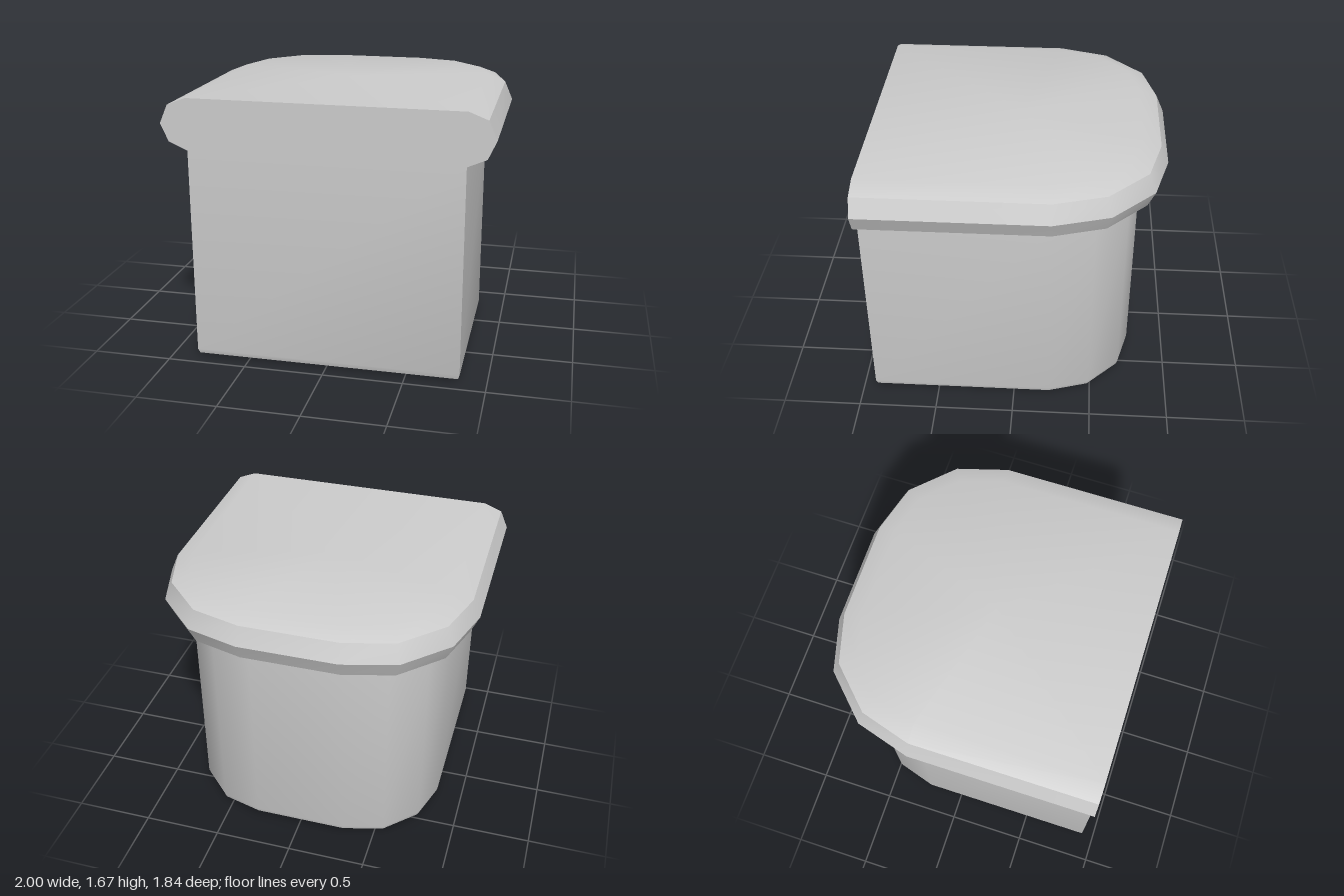
import * as THREE from 'three';
import { toCreasedNormals } from 'three/addons/utils/BufferGeometryUtils.js';

// Half of the widest outline: [x, z, inset direction in degrees]
const OUTLINE = [[1, -0.23, 0], [0.9, -0.57, 30], [0.64, -0.83, 60], [0.31, -0.92, 86]];

// U-shaped ring: straight front, rounded back, moved inwards by inset
function ring({ y, inset, front = 0.92 }) {
  const half = [new THREE.Vector3(1 - inset, y, front)];
  for (const [x, z, deg] of OUTLINE) {
    const a = THREE.MathUtils.degToRad(deg);
    half.push(new THREE.Vector3(x - inset * Math.cos(a), y, z + inset * Math.sin(a)));
  }
  const mirrored = half.map((p) => new THREE.Vector3(-p.x, p.y, p.z)).reverse();
  return [...half, ...mirrored];
}

// Skin a stack of rings, optionally closing the lowest and highest one
function loft(sections, capBottom, capTop) {
  const rings = sections.map(ring);
  const n = rings[0].length;
  const pos = [];
  const tri = (...pts) => pts.forEach((p) => pos.push(p.x, p.y, p.z));
  for (let r = 0; r < rings.length - 1; r++) {
    for (let i = 0; i < n; i++) {
      const j = (i + 1) % n;
      const [a, b, c, d] = [rings[r][i], rings[r][j], rings[r + 1][j], rings[r + 1][i]];
      tri(a, b, c);
      tri(a, c, d);
    }
  }
  const cap = (points, up) => {
    const centre = new THREE.Vector3(0, points[0].y, 0);
    for (let i = 0; i < n; i++) {
      const a = points[i], b = points[(i + 1) % n];
      if (up) tri(centre, a, b);
      else tri(centre, b, a);
    }
  };
  if (capBottom) cap(rings[0], false);
  if (capTop) cap(rings[rings.length - 1], true);
  const geometry = new THREE.BufferGeometry();
  geometry.setAttribute('position', new THREE.Float32BufferAttribute(pos, 3));
  return toCreasedNormals(geometry, 0.7);
}

export function createModel() {
  const group = new THREE.Group();
  const material = new THREE.MeshStandardMaterial({ color: 0xcccccc });
  const add = (name, geometry) => {
    const mesh = new THREE.Mesh(geometry, material);
    mesh.name = name;
    group.add(mesh);
  };

  // Block with a small bevel around its foot
  add('body', loft([
    { y: 0, inset: 0.215, front: 0.87 },
    { y: 0.02, inset: 0.175, front: 0.91 },
    { y: 0.05, inset: 0.165 },
    { y: 1.355, inset: 0.165 },
  ], true, false));

  // Overhanging faceted rim with a flat top
  add('rim', loft([
    { y: 1.355, inset: 0.165 },
    { y: 1.405, inset: 0.05 },
    { y: 1.515, inset: 0 },
    { y: 1.63, inset: 0.05 },
    { y: 1.675, inset: 0.165 },
  ], false, true));

  return group;
}
